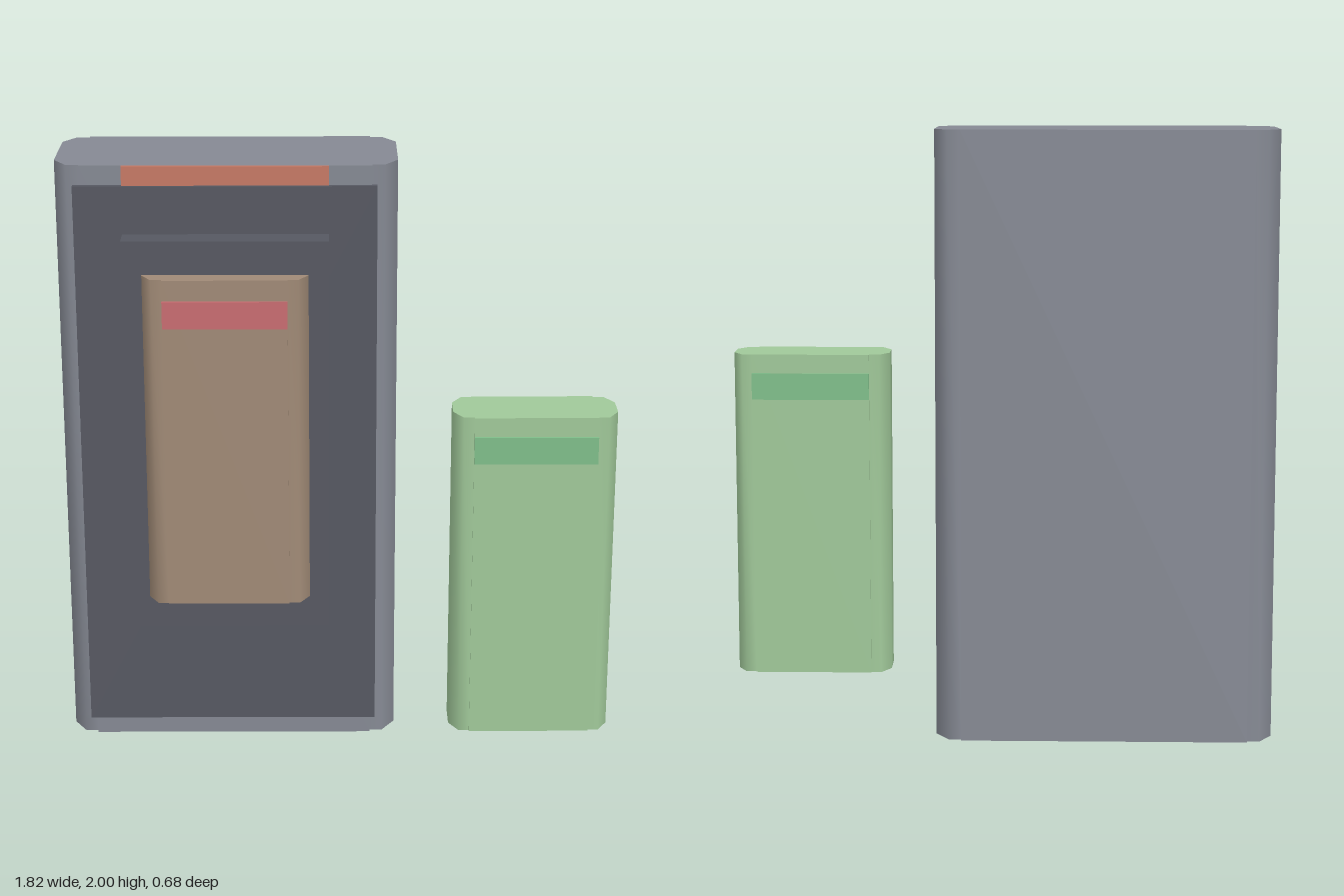
import * as THREE from 'three';
import { toCreasedNormals } from 'three/addons/utils/BufferGeometryUtils.js';

const mat = (name, color) => {
  const m = new THREE.MeshStandardMaterial({ color });
  m.name = name;
  return m;
};

export function createModel() {
  const group = new THREE.Group();
  const grey = mat('slate grey', 0x858993);
  const dark = mat('dark grey', 0x565861);
  const orange = mat('terracotta', 0xc67864);
  const brown = mat('tan', 0xa08a76);
  const red = mat('red', 0xc86b70);
  const green = mat('light green', 0xa0c899);
  const deepGreen = mat('green', 0x7fbe8a);

  const add = (name, geometry, material) => {
    const mesh = new THREE.Mesh(geometry, material);
    mesh.name = name;
    group.add(mesh);
    return mesh;
  };

  // Box given by its limits on each axis
  const slab = (name, material, x0, x1, y0, y1, z0, z1) =>
    add(name, new THREE.BoxGeometry(x1 - x0, y1 - y0, z1 - z0), material)
      .position.set((x0 + x1) / 2, (y0 + y1) / 2, (z0 + z1) / 2);

  // Upright case: raised flat faces, small step, then softly chamfered sides.
  // The quarter outline is mirrored into all four quadrants.
  const roundedCase = (name, material, quarter, x, y0, height, z) => {
    const q = quarter.map(([a, b]) => new THREE.Vector2(a, b));
    const flip = (p, sx, sy) => new THREE.Vector2(p.x * sx, p.y * sy);
    const r = [...q].reverse();
    const outline = [
      ...q,
      ...r.map(p => flip(p, -1, 1)),
      ...q.map(p => flip(p, -1, -1)),
      ...r.map(p => flip(p, 1, -1)),
    ];
    const geo = new THREE.ExtrudeGeometry(new THREE.Shape(outline),
      { depth: height, bevelEnabled: false });
    geo.rotateX(-Math.PI / 2);
    add(name, toCreasedNormals(geo, 1.15), material).position.set(x, y0, z);
  };

  const largeQuarter = [[0.555, 0.136], [0.512, 0.207], [0.47, 0.207], [0.47, 0.22]];
  const smallQuarter = [[0.267, 0.048], [0.235, 0.105], [0.2, 0.105], [0.2, 0.112]];

  // Large case with its top band, front panel and raised block
  roundedCase('largeCase', grey, largeQuarter, -0.357, 0, 2, -0.118);
  slab('topBand', orange, -0.69, -0.025, 1.9, 2, 0.1, 0.113);
  slab('frontPanel', dark, -0.847, 0.13, 0.065, 1.937, 0.098, 0.122);
  slab('raisedBlock', dark, -0.69, -0.025, 0.45, 1.78, 0.1, 0.216);

  // Small case set into the block
  roundedCase('insetCase', brown, smallQuarter, -0.358, 0.56, 1.11, 0.171);
  slab('insetBand', red, -0.558, -0.158, 1.512, 1.602, 0.282, 0.293);

  // Separate small case, banded front and back
  roundedCase('smallCase', green, smallQuarter, 0.643, 0.112, 1.112, 0.216);
  slab('smallCaseFrontBand', deepGreen, 0.443, 0.843, 1.07, 1.16, 0.327, 0.338);
  slab('smallCaseBackBand', deepGreen, 0.443, 0.843, 1.07, 1.16, 0.094, 0.105);

  return group;
}
